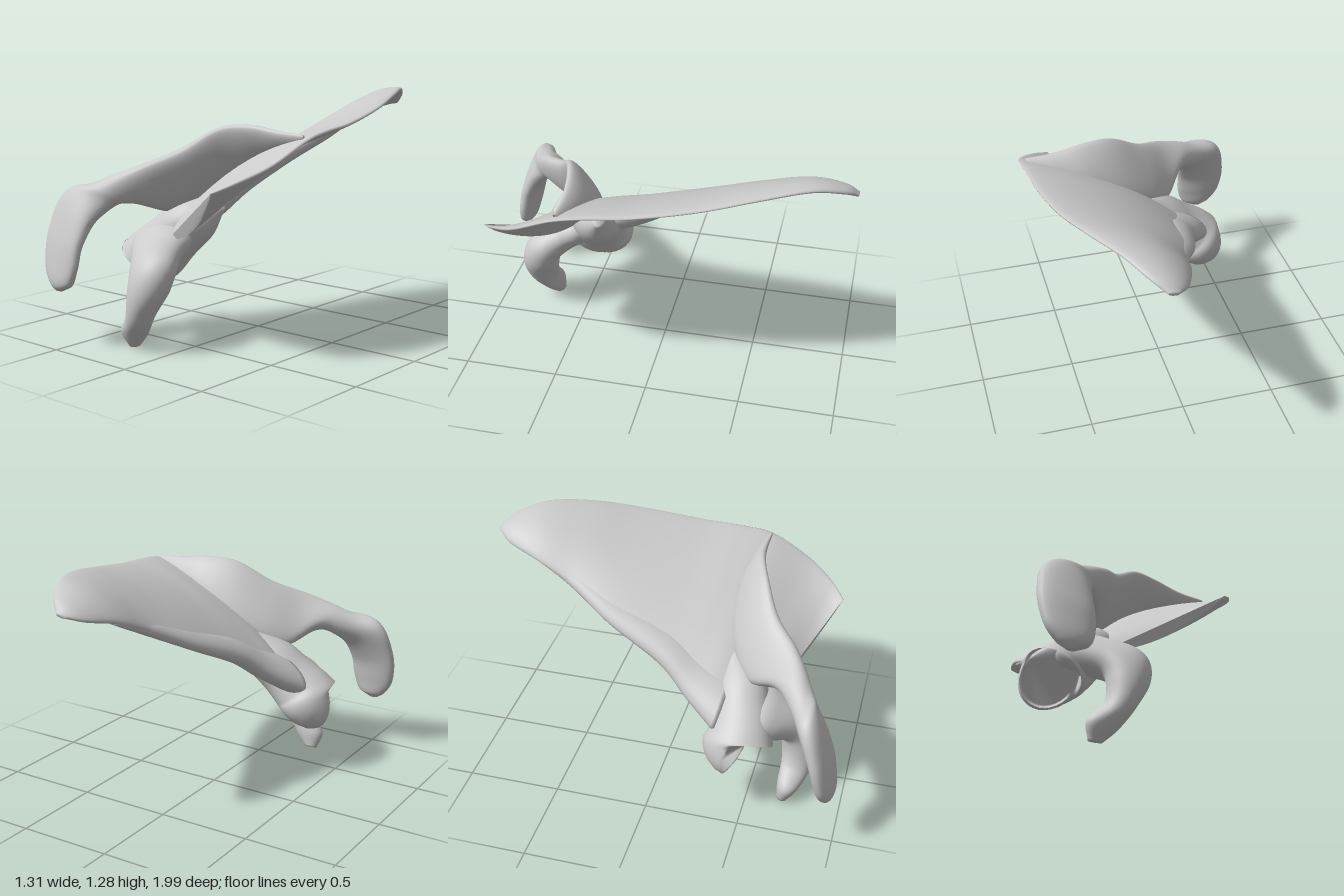
import * as THREE from 'three';

const material = new THREE.MeshStandardMaterial({ color: 0xcccccc });

// Smooth loft. Each row: [edge A, edge B, half thickness, bow of the middle].
function loft(name, rows, { steps = 8, sides = 32, power = 1 } = {}) {
  const curve = (pts) => new THREE.CatmullRomCurve3(pts, false, 'catmullrom', 0.5);
  const edgeA = curve(rows.map((r) => new THREE.Vector3(...r[0])));
  const edgeB = curve(rows.map((r) => new THREE.Vector3(...r[1])));
  const size = curve(rows.map((r) => new THREE.Vector3(r[2], r[3] ?? 0, 0)));
  const n = (rows.length - 1) * steps;
  const middle = (t) => edgeA.getPoint(t).add(edgeB.getPoint(t)).multiplyScalar(0.5);
  const pos = [], index = [];

  for (let i = 0; i <= n; i++) {
    const t = i / n;
    const c = middle(t);
    const a = edgeB.getPoint(t).sub(c);
    const along = middle(Math.min(1, t + 0.02)).sub(middle(Math.max(0, t - 0.02)));
    const b = along.cross(a).normalize();
    const s = size.getPoint(t);
    for (let j = 0; j < sides; j++) {
      const ang = (j / sides) * Math.PI * 2;
      const u = Math.cos(ang), v = Math.sin(ang);
      const lift = Math.sign(v) * Math.abs(v) ** power * s.x + s.y * (1 - u * u);
      pos.push(...c.clone().addScaledVector(a, u).addScaledVector(b, lift).toArray());
    }
  }
  for (let i = 0; i < n; i++) {
    for (let j = 0; j < sides; j++) {
      const k = (j + 1) % sides;
      const p = i * sides, q = p + sides;
      index.push(p + j, p + k, q + k, p + j, q + k, q + j);
    }
  }
  // End caps
  for (let j = 1; j < sides - 1; j++) {
    const e = n * sides;
    index.push(0, j + 1, j, e, e + j, e + j + 1);
  }
  const geometry = new THREE.BufferGeometry();
  geometry.setAttribute('position', new THREE.Float32BufferAttribute(pos, 3));
  geometry.setIndex(index);
  geometry.computeVertexNormals();
  const mesh = new THREE.Mesh(geometry, material);
  mesh.name = name;
  return mesh;
}

export function createModel() {
  const group = new THREE.Group();
  group.name = 'shoulderBlade';

  // Thin triangular blade: lateral border to medial border, rear tip to front
  group.add(loft('blade', [
    [[0.18, 1.17, -1.0], [0.23, 1.18, -1.0], 0.01, 0],
    [[0.11, 1.14, -0.92], [0.3, 1.23, -0.93], 0.022, 0.015],
    [[0.05, 1.1, -0.76], [0.39, 1.27, -0.78], 0.027, 0.03],
    [[0.0, 1.01, -0.55], [0.49, 1.25, -0.55], 0.028, 0.045],
    [[-0.11, 0.88, -0.3], [0.57, 1.2, -0.28], 0.028, 0.05],
    [[-0.19, 0.74, -0.02], [0.62, 1.15, 0.03], 0.03, 0.055],
    [[-0.27, 0.62, 0.15], [0.64, 1.13, 0.25], 0.03, 0.065],
    [[-0.35, 0.52, 0.3], [0.65, 1.1, 0.42], 0.03, 0.06],
    [[-0.3, 0.52, 0.45], [0.61, 1.0, 0.63], 0.03, 0.01],
    [[-0.17, 0.55, 0.54], [0.52, 0.93, 0.77], 0.025, -0.03],
    [[-0.13, 0.55, 0.56], [0.43, 0.88, 0.85], 0.012, -0.05],
  ], { steps: 10, sides: 40, power: 0.8 }));

  // Thickened lateral border running into the neck
  group.add(loft('lateralBorder', [
    [[0.07, 1.1, -0.78], [0.11, 1.12, -0.78], 0.01],
    [[0.0, 1.0, -0.55], [0.1, 1.05, -0.55], 0.035],
    [[-0.11, 0.87, -0.3], [0.03, 0.95, -0.3], 0.042],
    [[-0.2, 0.73, 0.0], [-0.02, 0.83, 0.0], 0.055],
    [[-0.29, 0.6, 0.17], [-0.04, 0.74, 0.18], 0.065],
    [[-0.38, 0.5, 0.33], [-0.08, 0.65, 0.36], 0.08],
  ], { sides: 24 }));

  // Neck flaring to the socket face
  group.add(loft('socket', [
    [[0.08, 0.71, 0.36], [-0.03, 0.79, 0.34], 0.03],
    [[0.02, 0.58, 0.42], [-0.2, 0.71, 0.39], 0.13],
    [[-0.09, 0.46, 0.46], [-0.32, 0.62, 0.42], 0.15],
    [[-0.17, 0.37, 0.48], [-0.42, 0.55, 0.43], 0.17],
    [[-0.22, 0.33, 0.48], [-0.475, 0.5, 0.43], 0.185],
    [[-0.26, 0.34, 0.48], [-0.46, 0.48, 0.44], 0.155],
  ]));

  // Raised spine: root on the blade to crest, turning down into the acromion
  group.add(loft('spineAndAcromion', [
    [[0.59, 1.07, 0.38], [0.62, 1.12, 0.41], 0.012],
    [[0.45, 1.03, 0.34], [0.46, 1.13, 0.41], 0.025],
    [[0.28, 0.96, 0.31], [0.3, 1.15, 0.43], 0.035],
    [[0.1, 0.85, 0.32], [0.14, 1.13, 0.48], 0.04],
    [[-0.06, 0.75, 0.38], [-0.03, 1.02, 0.57], 0.05],
    [[-0.18, 0.69, 0.48], [-0.18, 0.94, 0.7], 0.06],
    [[-0.28, 0.75, 0.65], [-0.35, 0.86, 0.79], 0.07],
    [[-0.35, 0.68, 0.83], [-0.58, 0.79, 0.82], 0.065],
    [[-0.38, 0.55, 0.92], [-0.65, 0.6, 0.88], 0.052],
    [[-0.39, 0.43, 0.95], [-0.64, 0.43, 0.92], 0.047],
    [[-0.42, 0.34, 0.96], [-0.59, 0.34, 0.94], 0.04],
    [[-0.49, 0.3, 0.95], [-0.54, 0.3, 0.95], 0.015],
  ], { power: 0.85 }));

  // Hooked coracoid
  group.add(loft('coracoid', [
    [[-0.3, 0.52, 0.44], [-0.06, 0.57, 0.44], 0.05],
    [[-0.37, 0.5, 0.53], [-0.01, 0.56, 0.53], 0.1],
    [[-0.33, 0.46, 0.61], [0.0, 0.52, 0.61], 0.1],
    [[-0.22, 0.39, 0.71], [0.04, 0.45, 0.71], 0.1],
    [[-0.2, 0.3, 0.75], [0.02, 0.33, 0.74], 0.1],
    [[-0.22, 0.19, 0.75], [-0.06, 0.2, 0.74], 0.085],
    [[-0.3, 0.1, 0.72], [-0.14, 0.08, 0.71], 0.06],
    [[-0.28, 0.01, 0.69], [-0.21, 0.01, 0.69], 0.03],
  ]));

  return group;
}
